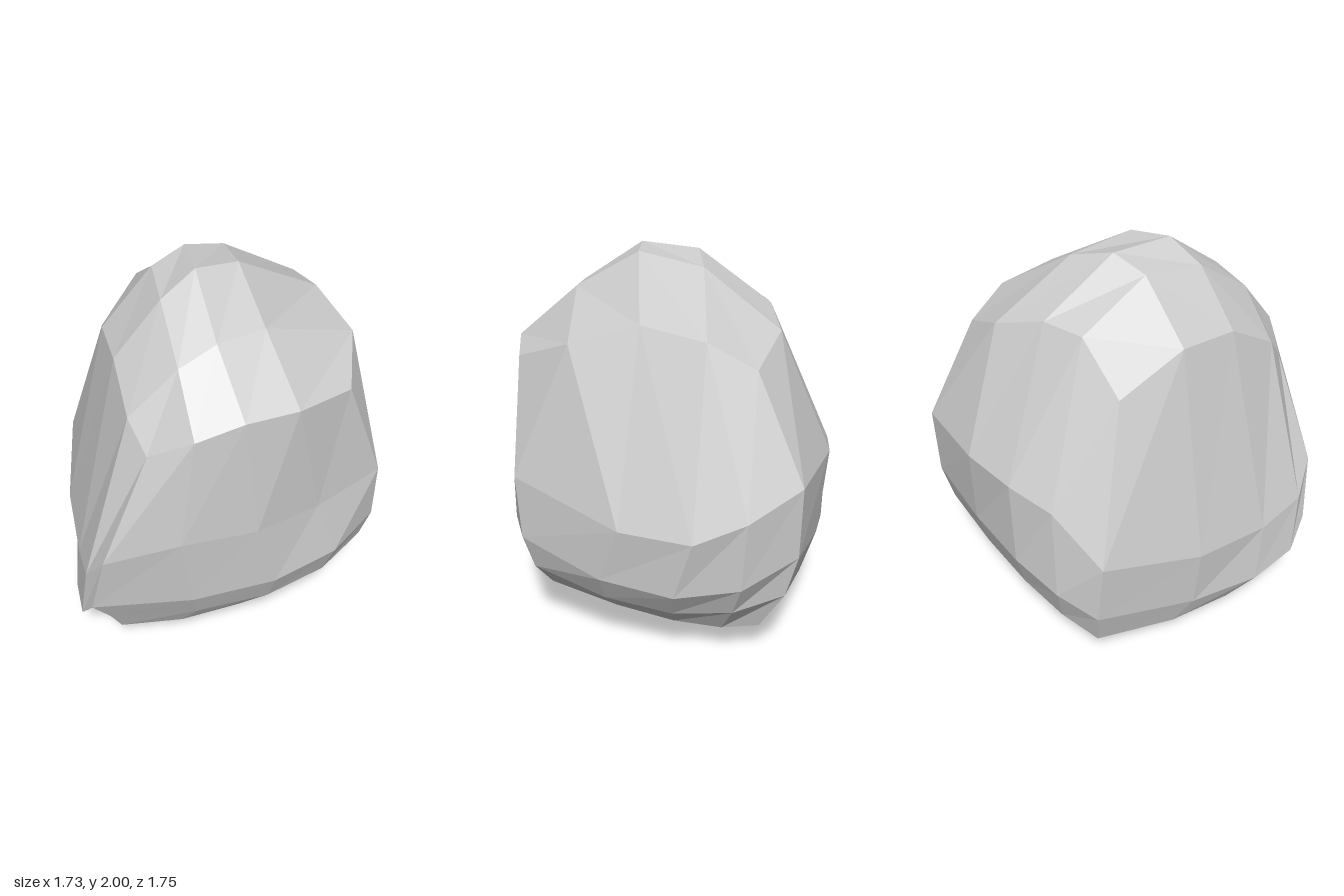
import * as THREE from 'three';

const V = (p) => new THREE.Vector3(...p);

// Crown of the rock: five sections running left to right, ordered back to front
const crown = [
  [[-0.545, 1.44, -0.36], [-0.33, 1.7, -0.42], [-0.12, 1.72, -0.5], [0.15, 1.64, -0.62], [0.48, 1.52, -0.59]],
  [[-0.58, 1.62, -0.01], [-0.31, 1.91, -0.04], [-0.13, 1.98, -0.1], [0.1, 1.92, -0.2], [0.55, 1.65, -0.36]],
  [[-0.57, 1.62, 0.31], [-0.33, 1.89, 0.29], [-0.15, 2, 0.23], [0.08, 1.98, 0.16], [0.56, 1.71, -0.03]],
  [[-0.56, 1.47, 0.6], [-0.32, 1.7, 0.61], [-0.13, 1.78, 0.57], [0.12, 1.79, 0.5], [0.64, 1.61, 0.31]],
  [[-0.5, 1.33, 0.73], [-0.3, 1.45, 0.84], [-0.07, 1.52, 0.85], [0.2, 1.52, 0.81], [0.51, 1.49, 0.65]],
].map((row) => row.map(V));

// Waist: sixteen points, around from the front corner at -x
const waist = [
  [-0.75, 0.77, 0.79], [-0.38, 0.88, 0.87], [0, 0.89, 0.87], [0.35, 0.88, 0.75],
  [0.74, 0.92, 0.59], [0.86, 0.77, -0.02], [0.84, 0.75, -0.39], [0.74, 0.85, -0.63],
  [0.56, 0.99, -0.85], [0.05, 1.0, -0.88], [-0.25, 0.96, -0.82], [-0.47, 0.88, -0.71],
  [-0.75, 0.66, -0.6], [-0.84, 0.54, -0.05], [-0.84, 0.52, 0.39], [-0.83, 0.6, 0.66],
].map(V);

// Lower loops from high to low: corner, middle, corner, middle ... in the same direction
const loops = [
  [[-0.82, 0.43, 0.73], [0.11, 0.51, 0.85], [0.75, 0.59, 0.56], [0.825, 0.44, -0.29],
    [0.55, 0.62, -0.84], [-0.25, 0.48, -0.81], [-0.73, 0.33, -0.62], [-0.87, 0.21, 0.34]],
  [[-0.73, 0.3, 0.69], [0.1, 0.34, 0.78], [0.71, 0.41, 0.52], [0.74, 0.3, -0.25],
    [0.55, 0.4, -0.78], [-0.2, 0.26, -0.74], [-0.68, 0.14, -0.59], [-0.8, 0.1, 0.2]],
  [[-0.67, 0.16, 0.64], [-0.03, 0.21, 0.69], [0.62, 0.28, 0.47], [0.62, 0.18, -0.22],
    [0.53, 0.19, -0.65], [-0.08, 0.11, -0.64], [-0.58, 0.035, -0.53], [-0.7, 0.012, 0.07]],
].map((loop) => loop.map(V));

// Point on the parabola through a (t = 0), m (t = 0.5) and b (t = 1)
function bow(a, m, b, t) {
  return new THREE.Vector3()
    .addScaledVector(a, (1 - t) * (1 - 2 * t))
    .addScaledVector(m, 4 * t * (1 - t))
    .addScaledVector(b, t * (2 * t - 1));
}

// Spread eight loop points to a closed ring of sixteen segments
function ring(loop) {
  const points = [];
  for (let side = 0; side < 4; side++) {
    const [a, m, b] = [0, 1, 2].map((k) => loop[(side * 2 + k) % 8]);
    for (let k = 0; k < 4; k++) points.push(bow(a, m, b, k / 4));
  }
  return [...points, points[0]];
}

// Underside: a patch blended from the four sides of the lowest ring
function underside(r) {
  const rows = [];
  for (let j = 0; j <= 4; j++) {
    const row = [];
    for (let i = 0; i <= 4; i++) {
      const u = i / 4, v = j / 4;
      const p = new THREE.Vector3()
        .addScaledVector(r[i], 1 - v).addScaledVector(r[12 - i], v)
        .addScaledVector(r[16 - j], 1 - u).addScaledVector(r[4 + j], u)
        .addScaledVector(r[0], -(1 - u) * (1 - v)).addScaledVector(r[4], -u * (1 - v))
        .addScaledVector(r[12], -(1 - u) * v).addScaledVector(r[8], -u * v);
      row.push(p);
    }
    rows.push(row);
  }
  return rows;
}

// Two triangles for every cell of a grid of points
function skin(rows, out) {
  for (let j = 0; j < rows.length - 1; j++) {
    for (let i = 0; i < rows[j].length - 1; i++) {
      const a = rows[j][i], b = rows[j + 1][i], c = rows[j + 1][i + 1], d = rows[j][i + 1];
      for (const p of [a, b, d, b, c, d]) out.push(p.x, p.y, p.z);
    }
  }
}

export function createModel() {
  // Rim of the crown, followed in the same order as the loops
  const rim = [
    ...crown[4],
    ...[3, 2, 1, 0].map((j) => crown[j][4]),
    ...[3, 2, 1, 0].map((i) => crown[0][i]),
    ...[1, 2, 3, 4].map((j) => crown[j][0]),
  ];
  const rings = loops.map(ring);

  const positions = [];
  skin(crown, positions);
  skin([rim, [...waist, waist[0]], ...rings], positions);
  skin(underside(rings[2]), positions);

  const geometry = new THREE.BufferGeometry();
  geometry.setAttribute('position', new THREE.Float32BufferAttribute(positions, 3));
  geometry.computeVertexNormals();

  const boulder = new THREE.Mesh(
    geometry,
    new THREE.MeshStandardMaterial({ color: 0xcccccc, flatShading: true }),
  );
  boulder.name = 'boulder';

  const group = new THREE.Group();
  group.name = 'rock';
  group.add(boulder);
  return group;
}
